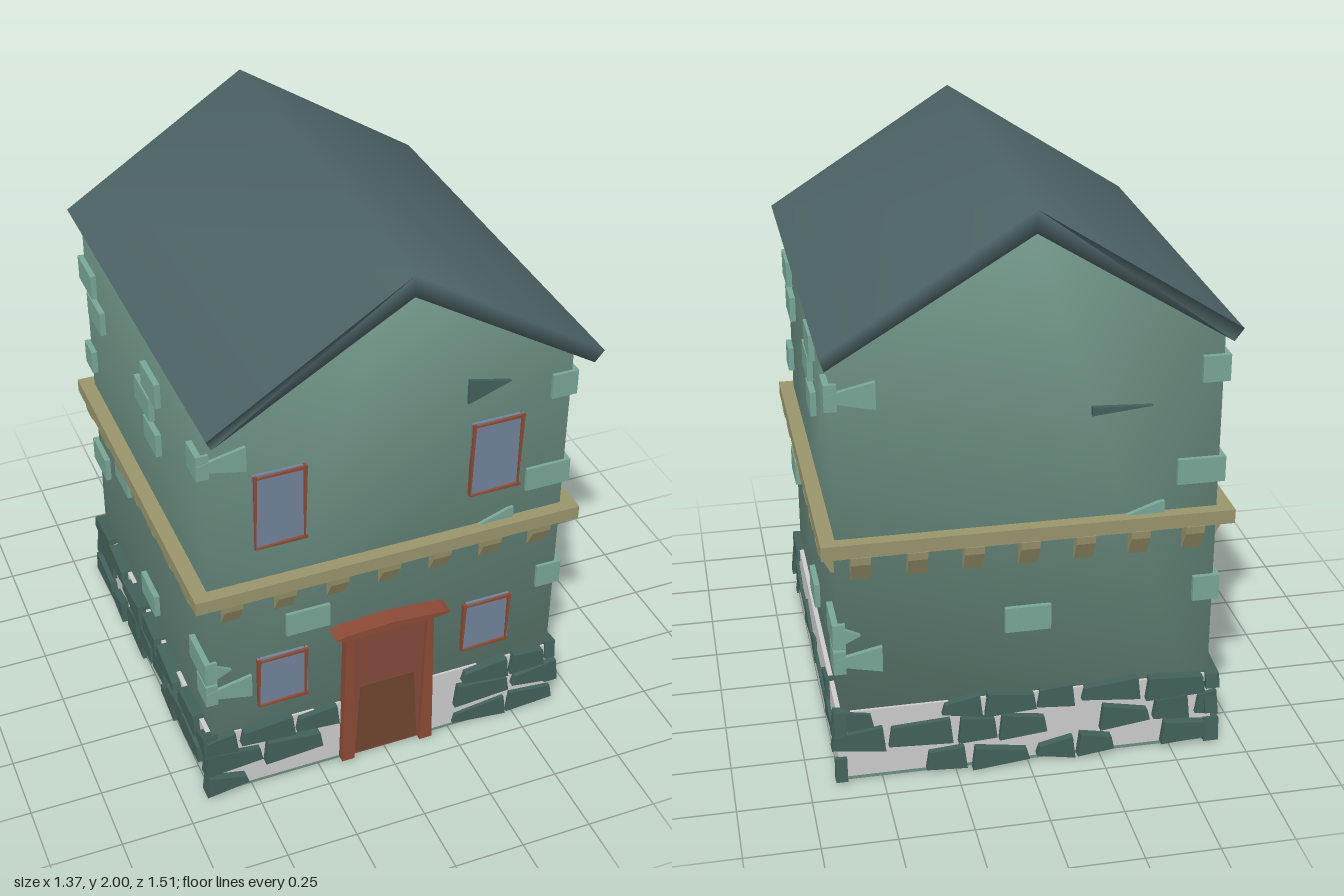
import * as THREE from 'three';
import { mergeVertices } from 'three/addons/utils/BufferGeometryUtils.js';

const mat = (color) => new THREE.MeshStandardMaterial({ color });
const M = {
  wall: mat(0x6c8f82), roof: mat(0x4c6264), brick: mat(0x78a596), stone: mat(0x42605a), base: mat(0xcccccc),
  trim: mat(0x98946c), frame: mat(0x8c4a36), door: mat(0x84493a), panel: mat(0x70452f), glass: mat(0x71829a),
};

let seed = 7;
const rnd = (a, b) => {
  seed = (seed * 16807) % 2147483647;
  return a + (b - a) * (seed / 2147483647);
};

function add(parent, name, geo, material) {
  const mesh = new THREE.Mesh(geo, material);
  mesh.name = name;
  parent.add(mesh);
  return mesh;
}

// Box given by its limits on each axis
function block(x0, x1, y0, y1, z0, z1) {
  return new THREE.BoxGeometry(x1 - x0, y1 - y0, z1 - z0)
    .translate((x0 + x1) / 2, (y0 + y1) / 2, (z0 + z1) / 2);
}

// Polygon in the xy plane, extruded from z0 to z1
function slab(points, z0, z1) {
  const shape = new THREE.Shape(points.map(([x, y]) => new THREE.Vector2(x, y)));
  return new THREE.ExtrudeGeometry(shape, { depth: z1 - z0, bevelEnabled: false }).translate(0, 0, z0);
}

// Shares corner normals for the soft shading of the large parts
function soften(geo) {
  geo.deleteAttribute('normal');
  geo.deleteAttribute('uv');
  const merged = mergeVertices(geo, 1e-4);
  merged.computeVertexNormals();
  return merged;
}

// Stone with uneven ends: some taper to a point, some stay blunt
function stone(face, u0, u1, y, h, left, right, out = 0.668) {
  const lean = h * 0.25;
  add(face, 'baseStone', slab([
    [u0, y - h * left / 2], [u1, y - h * right / 2 - lean * (1 - right) * 0.5],
    [u1 - 0.01, y + h * right / 2], [u0 + 0.01, y + h * left / 2],
  ], 0.62, out), M.stone);
}

function stoneRows(face, gap) {
  for (const [y, h, skip] of [[0.24, 0.085, 0.05], [0.15, 0.095, 0.2], [0.05, 0.085, 0.2]]) {
    let u = -0.67;
    while (u < 0.6) {
      const end = Math.min(u + rnd(0.12, 0.22), 0.67);
      const blunt = rnd(0, 1) < 0.5;
      const clear = !gap || end < -gap || u > gap;
      if (clear && rnd(0, 1) > skip) {
        stone(face, u, end, y + rnd(-0.01, 0.01), h, blunt ? 1 : rnd(0.3, 0.8), blunt ? rnd(0.2, 0.8) : 1, rnd(0.66, 0.68));
      }
      u = end + rnd(0.003, 0.025);
    }
  }
}

function bricks(face, list) {
  for (const [u0, u1, y0, y1] of list) add(face, 'wallBrick', block(u0, u1, y0, y1, 0.61, 0.652), M.brick);
}

function wedge(face, points) {
  add(face, 'wedgeBrick', slab(points, 0.61, 0.652), M.brick);
}

function windowUnit(face, x0, x1, y0, y1) {
  const g = new THREE.Group();
  g.name = 'window';
  add(g, 'windowPane', block(x0, x1, y0, y1, 0.62, 0.65), M.glass);
  const t = 0.012;
  const bars = [[x0, x0 + t, y0, y1], [x1 - t, x1, y0, y1], [x0, x1, y0, y0 + t], [x0, x1, y1 - t, y1]];
  bars.forEach(([a, b, c, d], i) => {
    // Hand-cut bars, thicker at one end
    const tall = i < 2, k = 0.008;
    add(g, 'windowFrame', slab(tall
      ? [[a, c], [b - k, c], [b, d], [a, d]]
      : [[a, c], [b, c], [b, d], [a, d - k]], 0.62, 0.658), M.frame);
  });
  face.add(g);
}

export function createModel() {
  const house = new THREE.Group();
  house.name = 'house';

  // Walls with gables, floor and plinth
  const outline = [[-0.632, 0.005], [0.632, 0.005], [0.632, 1.56], [0.01, 1.95], [-0.632, 1.56]];
  add(house, 'walls', soften(slab(outline, -0.635, 0.64)), M.wall);
  add(house, 'floor', block(-0.648, 0.648, 0, 0.012, -0.645, 0.648), M.wall);
  add(house, 'plinth', block(-0.648, 0.648, 0.012, 0.265, -0.645, 0.648), M.base);

  // Roof with ends drawn in along the lower edge
  const roof = slab([[-0.65, 1.575], [-0.628, 1.525], [0.01, 1.925], [0.655, 1.525], [0.673, 1.58], [0.01, 2]], -0.757, 0.757);
  const p = roof.attributes.position;
  for (let i = 0; i < p.count; i++) if (p.getY(i) < 1.55) p.setZ(i, p.getZ(i) * 0.97);
  add(house, 'roof', soften(roof), M.roof);

  // Band course
  add(house, 'bandCourse', block(-0.684, 0.682, 0.856, 0.905, -0.68, 0.686), M.trim);

  // One group per side, each built facing +z
  const [front, right, back, left] = ['frontSide', 'leftFlank', 'backSide', 'rightFlank'].map((name, i) => {
    const g = new THREE.Group();
    g.name = name;
    g.rotation.y = i * Math.PI / 2;
    house.add(g);
    return g;
  });

  // Corbels under the band
  const profile = [[0.6, 0.76], [0.642, 0.76], [0.68, 0.83], [0.684, 0.858], [0.6, 0.858]];
  for (const face of [front, right, back, left]) {
    for (let i = -3; i <= 3; i++) {
      const geo = slab(profile, -0.032, 0.032).rotateY(-Math.PI / 2);
      add(face, 'corbel', geo, M.trim).position.x = i * 0.184 - 0.003;
    }
  }

  // Bricks on both flanks
  for (const face of [right, left]) {
    bricks(face, [
      [-0.65, -0.49, 1.355, 1.445], [-0.56, -0.4, 1.255, 1.345], [-0.65, -0.56, 1, 1.088],
      [0.085, 0.24, 1.36, 1.45], [0, 0.158, 1.255, 1.345], [0.085, 0.22, 1.155, 1.24],
      [0.555, 0.65, 1.355, 1.445], [-0.345, -0.19, 0.69, 0.78], [-0.65, -0.49, 0.56, 0.65],
      [-0.08, 0.075, 0.345, 0.435], [0.485, 0.65, 0.51, 0.6], [0.555, 0.65, 0.415, 0.5], [0.37, 0.475, 0.815, 0.86],
    ]);
  }

  // Bricks and wedges on front and back
  for (const face of [front, back]) {
    bricks(face, [[0.56, 0.65, 1.355, 1.445], [0.49, 0.65, 1, 1.088], [0.56, 0.65, 0.56, 0.65]]);
    for (const y of [1.4, 0.46]) wedge(face, [[-0.65, y - 0.012], [-0.49, y - 0.048], [-0.49, y + 0.045], [-0.65, y + 0.01]]);
    wedge(face, [[-0.65, 0.51], [-0.56, 0.555], [-0.65, 0.6]]);
    wedge(face, [[0.31, 0.9], [0.45, 0.9], [0.45, 0.945], [0.43, 0.943]]);
  }
  bricks(front, [[-0.365, -0.21, 0.637, 0.727]]);
  bricks(back, [[-0.08, 0.075, 0.51, 0.6]]);
  add(front, 'darkWedge', slab([[0.26, 1.41], [0.41, 1.465], [0.26, 1.5]], 0.61, 0.652), M.stone);
  add(back, 'darkWedge', slab([[0.2, 1.27], [0.4, 1.29], [0.2, 1.3]], 0.61, 0.652), M.stone);

  // Plinth stones: dense on three sides, a single row on the fourth
  stoneRows(front, 0.15);
  stoneRows(back, 0);
  stoneRows(left, 0);
  const row = [
    [-0.59, -0.43, 0.145, 0.095, 1, 0.1], [-0.27, -0.11, 0.145, 0.095, 1, 0.1], [-0.1, 0.045, 0.145, 0.095, 0.1, 1],
    [0.37, 0.53, 0.15, 0.095, 1, 0.1], [-0.66, -0.51, 0.245, 0.07, 1, 0.6], [0.3, 0.45, 0.235, 0.075, 0.2, 1],
    [-0.43, -0.28, 0.14, 0.018, 0.6, 1], [0.05, 0.2, 0.14, 0.015, 1, 0.6], [0.2, 0.37, 0.14, 0.02, 0.6, 1],
    [0.62, 0.67, 0.23, 0.085, 1, 1], [0.63, 0.67, 0.05, 0.085, 1, 1], [-0.67, -0.64, 0.15, 0.09, 1, 1],
  ];
  for (const s of row) stone(right, ...s, 0.66);

  // Windows
  windowUnit(front, -0.47, -0.29, 1.038, 1.325);
  windowUnit(front, 0.28, 0.465, 1.038, 1.325);
  windowUnit(front, -0.47, -0.29, 0.357, 0.565);
  windowUnit(front, 0.283, 0.463, 0.357, 0.565);

  // Door with splayed jambs and a peaked lintel
  const door = new THREE.Group();
  door.name = 'door';
  front.add(door);
  add(door, 'doorSurround', slab([[-0.16, 0.01], [0.16, 0.01], [0.158, 0.6], [-0.158, 0.6]], 0.6, 0.66), M.door);
  add(door, 'doorLeaf', slab([[-0.115, 0.02], [0.12, 0.02], [0.1, 0.33], [-0.1, 0.33]], 0.6, 0.664), M.panel);
  for (const s of [-1, 1]) {
    const pts = [[s * 0.172, 0.008], [s * 0.125, 0.008], [s * 0.137, 0.6], [s * 0.16, 0.6]];
    add(door, 'doorJamb', slab(pts, 0.6, 0.678), M.frame);
  }
  add(door, 'doorLintel', slab([[-0.21, 0.607], [-0.16, 0.595], [0.16, 0.597], [0.21, 0.603], [0.19, 0.612], [0, 0.627], [-0.17, 0.618]], 0.6, 0.706), M.frame);

  return house;
}
